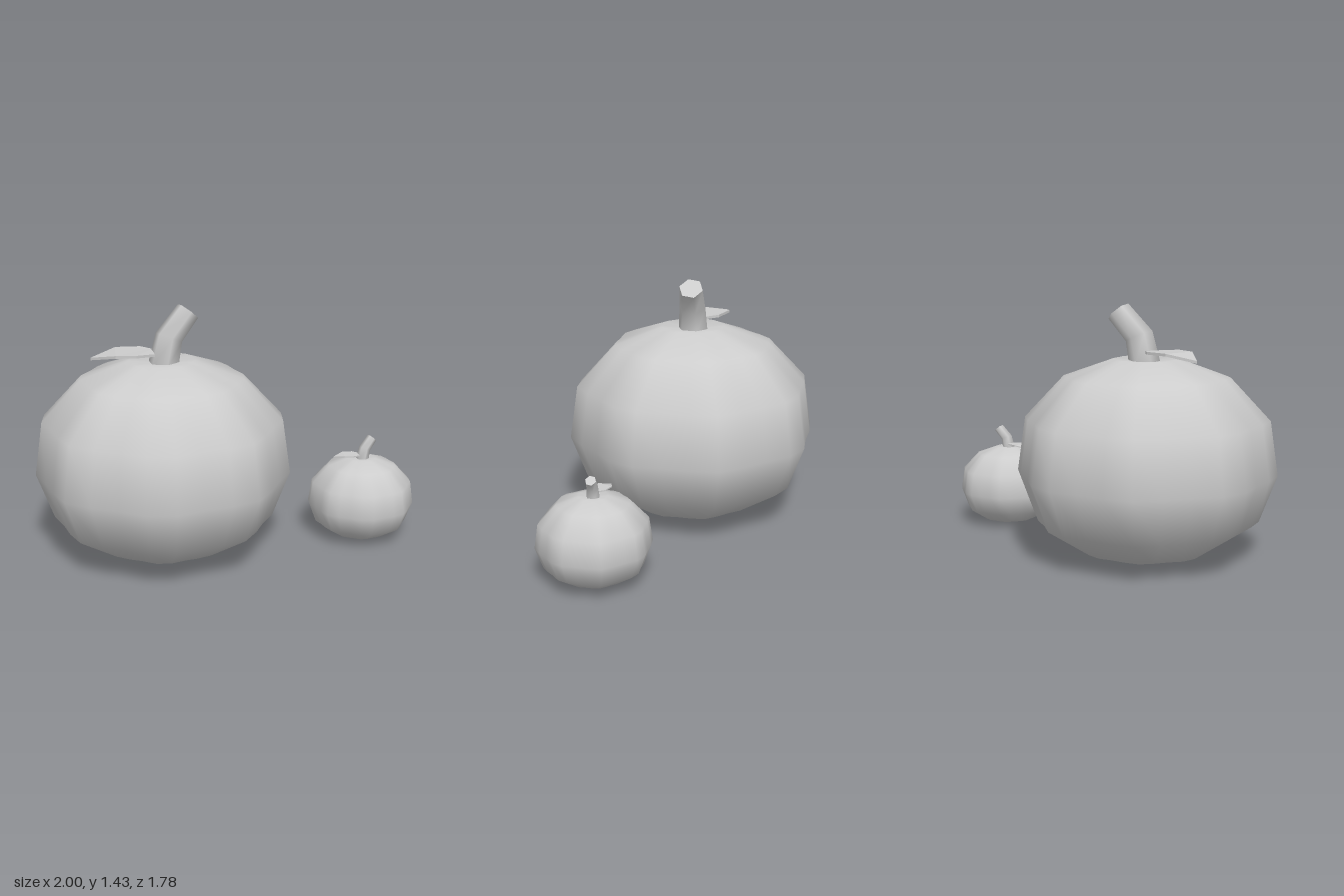
import * as THREE from 'three';
import { mergeVertices } from 'three/addons/utils/BufferGeometryUtils.js';

// Ribbed body: a lathe whose radius swells into eight lobes
function bodyGeometry() {
  const profile = [[0, 0], [0.38, 0.05], [0.64, 0.215], [0.74, 0.48], [0.695, 0.79], [0.47, 1.03], [0.19, 1.13], [0, 1.11]]
    .map(([r, y]) => new THREE.Vector2(r, y));
  let geo = new THREE.LatheGeometry(profile, 28);
  geo.deleteAttribute('uv');
  geo.deleteAttribute('normal');
  const p = geo.attributes.position;
  for (let i = 0; i < p.count; i++) {
    const angle = Math.atan2(p.getX(i), p.getZ(i));
    const k = 0.967 + 0.033 * Math.cos(8 * angle);
    p.setXYZ(i, p.getX(i) * k, p.getY(i), p.getZ(i) * k);
  }
  geo = mergeVertices(geo, 1e-4);
  geo.computeVertexNormals();
  return geo;
}

// Six-sided stem: each ring of a cylinder is moved and tilted along a bend
function stemGeometry() {
  const rings = [
    { at: [0.01, 1.1, 0], axis: [0, 1, 0], r: 0.09 },
    { at: [0.045, 1.255, 0.012], axis: [0.4, 1, 0.12], r: 0.08 },
    { at: [0.165, 1.39, 0.045], axis: [0.8, 1, 0.28], r: 0.07 },
  ];
  const up = new THREE.Vector3(0, 1, 0);
  const geo = new THREE.CylinderGeometry(1, 1, 2, 6, 2, false, Math.PI / 6);
  geo.deleteAttribute('uv');
  const p = geo.attributes.position, n = geo.attributes.normal;
  const v = new THREE.Vector3();
  for (let i = 0; i < p.count; i++) {
    const ring = rings[Math.round(p.getY(i)) + 1];
    const turn = new THREE.Quaternion().setFromUnitVectors(up, new THREE.Vector3(...ring.axis).normalize());
    v.set(p.getX(i), 0, p.getZ(i)).multiplyScalar(ring.r).applyQuaternion(turn).add(new THREE.Vector3(...ring.at));
    p.setXYZ(i, v.x, v.y, v.z);
    v.fromBufferAttribute(n, i).applyQuaternion(turn);
    n.setXYZ(i, v.x, v.y, v.z);
  }
  return geo;
}

// Pointed leaf: a thin extruded outline, arched along its length
function leafGeometry() {
  const outline = [[0, -0.08], [-0.015, -0.16], [-0.125, -0.25], [-0.295, -0.27], [-0.26, -0.1], [-0.18, -0.015], [-0.065, 0.01]];
  const shape = new THREE.Shape(outline.map(([x, z]) => new THREE.Vector2(x, -z)));
  const geo = new THREE.ExtrudeGeometry(shape, { depth: 0.015, bevelEnabled: false });
  geo.rotateX(-Math.PI / 2);
  const p = geo.attributes.position;
  for (let i = 0; i < p.count; i++) {
    const x = p.getX(i) + 0.035, z = p.getZ(i) + 0.04;
    const t = (-0.75 * x - 0.66 * z) / 0.347;
    const side = 0.66 * x - 0.75 * z;
    p.setY(i, p.getY(i) + 1.17 + 0.11 * t - 0.145 * t * t - 1.5 * side * side);
  }
  geo.computeVertexNormals();
  return geo;
}

export function createModel() {
  const model = new THREE.Group();
  model.name = 'pumpkins';
  const grey = new THREE.MeshStandardMaterial({ color: 0xcccccc });
  grey.name = 'light grey';

  const parts = { body: bodyGeometry(), stem: stemGeometry(), leaf: leafGeometry() };

  // The small pumpkin repeats the large one
  function addPumpkin(name, x, z, scale) {
    const pumpkin = new THREE.Group();
    pumpkin.name = name;
    for (const [part, geo] of Object.entries(parts)) {
      const mesh = new THREE.Mesh(geo, grey);
      mesh.name = part;
      pumpkin.add(mesh);
    }
    pumpkin.position.set(x, 0, z);
    pumpkin.scale.setScalar(scale);
    model.add(pumpkin);
  }
  addPumpkin('largePumpkin', -0.26, -0.15, 1);
  addPumpkin('smallPumpkin', 0.683, 0.57, 0.426);

  return model;
}
